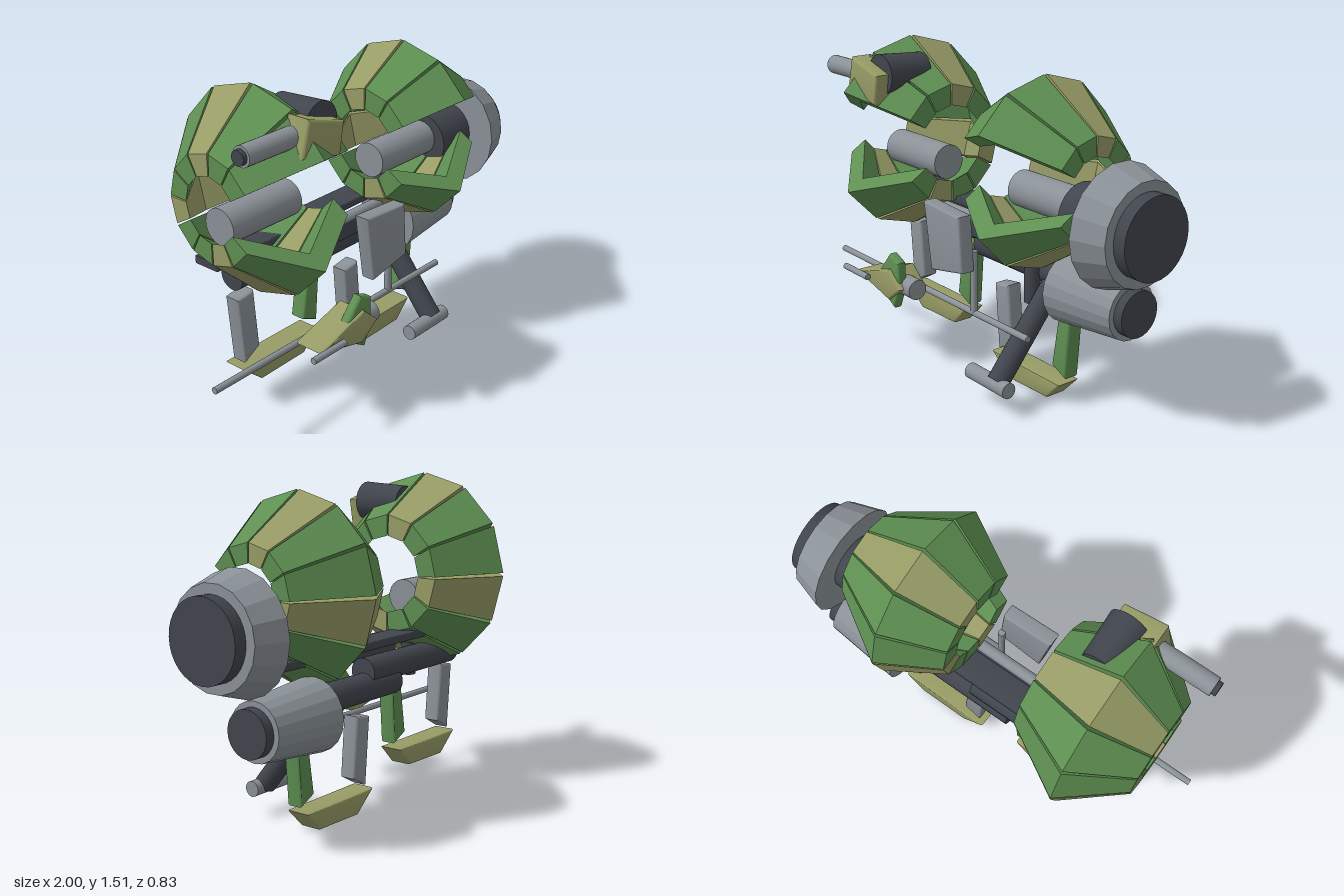
import * as THREE from 'three';
import { toCreasedNormals } from 'three/addons/utils/BufferGeometryUtils.js';

const mat = (name, color, flat = false) => {
  const m = new THREE.MeshStandardMaterial({ color });
  m.name = name;
  m.flatShading = flat;
  return m;
};

export function createModel() {
  const root = new THREE.Group();
  root.name = 'armouredWalker';
  const green = mat('green', 0x5e8f52);
  const olive = mat('olive', 0x979c66);
  const grey = mat('grey', 0x8a9197);
  const dark = mat('charcoal', 0x41454d);

  const add = (name, geo, material, parent = root) => {
    const mesh = new THREE.Mesh(geo, material);
    mesh.name = name;
    parent.add(mesh);
    return mesh;
  };

  // Round bar between two points, with an optional second radius
  const rod = (name, a, b, r, material, r2 = r, sides = 24) => {
    const p = new THREE.Vector3(...a), q = new THREE.Vector3(...b);
    const d = q.clone().sub(p);
    const geo = new THREE.CylinderGeometry(r2, r, d.length(), sides);
    const mesh = add(name, geo, material);
    mesh.position.copy(p).add(q).multiplyScalar(0.5);
    mesh.quaternion.setFromUnitVectors(new THREE.Vector3(0, 1, 0), d.normalize());
    return mesh;
  };
  const xRod = (name, x0, x1, y, z, r, material, r2, sides) =>
    rod(name, [x0, y, z], [x1, y, z], r, material, r2, sides);

  // Plate with softly rounded edges: outline in x and y, between two z values
  const plate = (name, pts, z0, z1, material, parent = root, bevel = 0.012) => {
    const shape = new THREE.Shape(pts.map((p) => new THREE.Vector2(...p)));
    const geo = new THREE.ExtrudeGeometry(shape, {
      depth: z1 - z0 - 2 * bevel, bevelEnabled: true, bevelThickness: bevel,
      bevelSize: bevel, bevelOffset: -bevel, bevelSegments: 3,
    });
    geo.translate(0, 0, z0 + bevel);
    return add(name, toCreasedNormals(geo, 0.6), material, parent);
  };

  // One armour wedge: a chevron profile of [x, radius] swept between two angles
  const wedge = (profile, a, b) => {
    const at = ([x, r], t) => [x, 1.047 + r * Math.sin(t), 0.028 + 0.962 * r * Math.cos(t)];
    const A = profile.map((p) => at(p, a)), B = profile.map((p) => at(p, b));
    const pos = [];
    const quad = (p, q, r, s) => pos.push(...p, ...q, ...r, ...p, ...r, ...s);
    for (let i = 0; i < 6; i++) {
      const j = (i + 1) % 6;
      quad(A[i], A[j], B[j], B[i]);
    }
    quad(A[0], A[5], A[4], A[1]);
    quad(A[1], A[4], A[3], A[2]);
    quad(B[0], B[1], B[4], B[5]);
    quad(B[1], B[2], B[3], B[4]);
    const geo = new THREE.BufferGeometry();
    geo.setAttribute('position', new THREE.Float32BufferAttribute(pos, 3));
    geo.computeVertexNormals();
    return geo;
  };

  // Two armour shells, open at the front
  const shells = [
    ['rightShell', [[-0.83, 0.24], [-0.58, 0.462], [-0.27, 0.278], [-0.27, 0.18], [-0.58, 0.36], [-0.83, 0.145]]],
    ['leftShell', [[0.11, 0.262], [0.375, 0.423], [0.69, 0.225], [0.69, 0.14], [0.375, 0.325], [0.11, 0.165]]],
  ];
  for (const [name, profile] of shells) {
    const group = new THREE.Group();
    group.name = name;
    root.add(group);
    for (let i = 0; i < 10; i++) {
      const a = THREE.MathUtils.degToRad(31 + 30 * i);
      const b = THREE.MathUtils.degToRad(59 + 30 * i);
      add('armourPlate', wedge(profile, a, b), i % 3 === 2 ? olive : green, group);
    }
  }

  // Drums inside the shells
  xRod('rightDrum', -0.75, -0.35, 0.935, -0.01, 0.082, grey);
  xRod('leftDrum', 0.19, 0.585, 0.935, -0.01, 0.082, grey);

  // Large and small side engines
  const duct = mat('facetedGrey', 0x8a9197, true);
  xRod('upperShaft', 0.58, 0.79, 0.92, -0.005, 0.135, dark);
  xRod('upperEngineRing', 0.79, 0.94, 0.918, -0.007, 0.268, duct, 0.222, 18);
  xRod('upperEngineCap', 0.93, 1.0, 0.918, -0.007, 0.177, dark, 0.177, 32);
  xRod('lowerEngine', 0.43, 0.8, 0.53, -0.09, 0.165, duct, 0.13, 20);
  xRod('lowerEngineCap', 0.79, 0.845, 0.53, -0.09, 0.104, dark);

  // Cross bars
  plate('mainSlab', [[-0.79, 0.752], [0.65, 0.752], [0.65, 0.787], [-0.79, 0.787]], -0.125, 0.01, dark, root, 0.005);
  xRod('lowerBarInner', -0.16, 0.44, 0.575, -0.075, 0.066, dark);
  xRod('lowerBarOuter', -0.64, 0.05, 0.645, -0.07, 0.064, dark);
  plate('frontBar', [[-0.35, 0.66], [0.18, 0.66], [0.18, 0.75], [-0.35, 0.75]], 0.03, 0.085, dark);
  xRod('frontPipe', -0.35, 0.18, 0.745, 0.057, 0.027, grey);
  rod('rightPost', [-0.41, 0.55, 0], [-0.41, 0.71, 0], 0.034, dark);
  rod('leftPost', [0.275, 0.43, 0], [0.275, 0.72, 0], 0.036, dark);

  // Front control panel, stem and long rail
  plate('controlPanel', [[-0.11, 0.53], [0.12, 0.575], [0.1, 0.83], [-0.16, 0.845]], 0.2, 0.275, grey);
  rod('stem', [0.097, 0.36, 0.187], [0.097, 0.66, 0.187], 0.017, grey);
  xRod('longRail', -1, 0.47, 0.365, 0.187, 0.015, grey);

  // Angled support leg
  rod('supportLeg', [0.35, 0.54, -0.07], [0.35, 0.14, 0.255], 0.05, dark);
  xRod('supportFoot', 0.17, 0.435, 0.132, 0.263, 0.036, grey);

  // Two skids, each with a grey and a green strut
  for (const [name, x, y] of [['rightSkid', 0, 0], ['leftSkid', 0.685, -0.13]]) {
    const g = new THREE.Group();
    g.name = name;
    g.position.set(x, y, 0);
    root.add(g);
    plate('runner', [[-0.56, 0.131], [-0.29, 0.137], [-0.2, 0.23], [-0.675, 0.23]], -0.1, 0.016, olive, g);
    plate('greyStrut', [[-0.645, 0.245], [-0.555, 0.295], [-0.58, 0.58], [-0.675, 0.565]], -0.08, 0, grey, g);
    plate('greenStrut', [[-0.275, 0.3], [-0.187, 0.26], [-0.163, 0.55], [-0.23, 0.585]], -0.08, 0, green, g);
  }

  // Forward pod with a thin barrel and side fin
  plate('podBody', [[-0.58, 0.415], [-0.31, 0.345], [-0.21, 0.42], [-0.3, 0.5]], 0.235, 0.38, olive);
  plate('podFin', [[-0.42, 0.44], [-0.38, 0.37], [-0.28, 0.31], [-0.235, 0.42], [-0.24, 0.54], [-0.31, 0.57]], 0.32, 0.367, green);
  xRod('podBarrel', -0.645, -0.45, 0.42, 0.397, 0.015, grey);
  xRod('podCap', -0.3, -0.17, 0.42, 0.308, 0.048, grey);

  // Gun on the right shell
  plate('gunHousing', [[-0.64, 1.285], [-0.42, 1.24], [-0.395, 1.38], [-0.6, 1.44]], 0.235, 0.35, olive);
  rod('gunDrum', [-0.46, 1.37, 0.06], [-0.46, 1.37, 0.285], 0.08, dark, 0.093);
  xRod('gunBarrel', -0.88, -0.6, 1.355, 0.268, 0.044, grey);
  xRod('gunMuzzle', -0.9, -0.87, 1.355, 0.268, 0.032, dark);

  return root;
}
